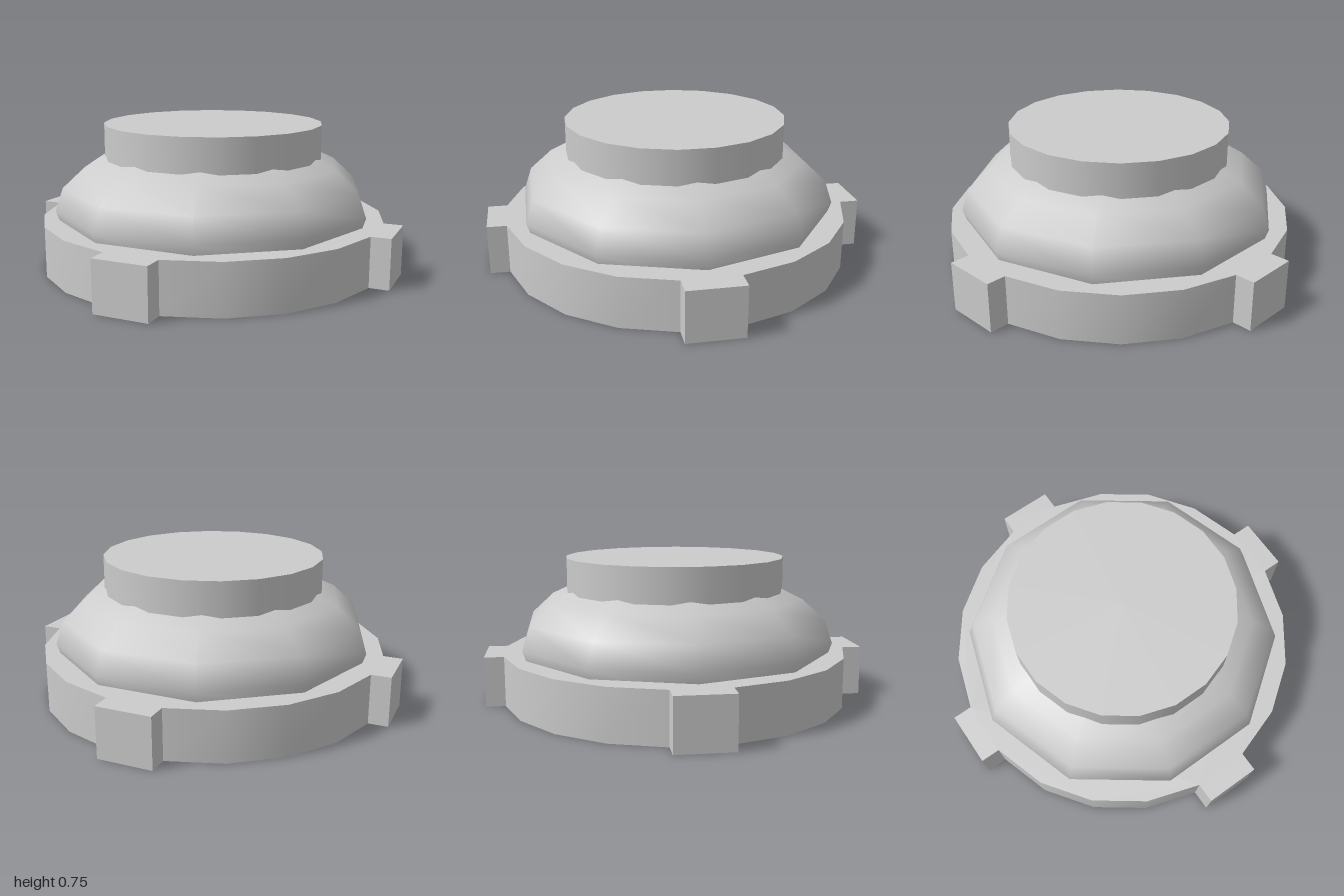
import * as THREE from 'three';
import { toCreasedNormals } from 'three/addons/utils/BufferGeometryUtils.js';

const BASE_H = 0.26, BASE_R = 0.91, TAB = 0.142;
const material = new THREE.MeshStandardMaterial({ color: 0xcccccc, side: THREE.DoubleSide });

// Twenty-sided outline with a square tab on each axis
function baseOutline() {
  const points = [];
  for (let q = 0; q < 4; q++) {
    const turn = q * Math.PI / 2, centre = new THREE.Vector2();
    const add = (x, y) => points.push(new THREE.Vector2(x, y).rotateAround(centre, turn));
    add(1, -TAB);
    add(1, TAB);
    for (let k = 0; k < 5; k++) {
      const a = THREE.MathUtils.degToRad(9 + 18 * k);
      add(BASE_R * Math.cos(a), BASE_R * Math.sin(a));
    }
  }
  return points;
}

// Open strip of quads that follows the outline from the ground to the lid
function wallGeometry(points, height) {
  const positions = [];
  points.forEach((a, i) => {
    const b = points[(i + 1) % points.length];
    const a0 = [a.x, 0, -a.y], b0 = [b.x, 0, -b.y];
    const a1 = [a.x, height, -a.y], b1 = [b.x, height, -b.y];
    positions.push(...a0, ...b0, ...b1, ...a0, ...b1, ...a1);
  });
  const geometry = new THREE.BufferGeometry();
  geometry.setAttribute('position', new THREE.Float32BufferAttribute(positions, 3));
  return toCreasedNormals(geometry, Math.PI / 6);
}

export function createModel() {
  const group = new THREE.Group();
  const add = (name, geometry, y = 0) => {
    const mesh = new THREE.Mesh(geometry, material);
    mesh.name = name;
    mesh.position.y = y;
    group.add(mesh);
  };

  // Base: hollow underneath, closed by a flat lid
  const outline = baseOutline();
  add('baseWall', wallGeometry(outline, BASE_H));
  add('baseLid', new THREE.ShapeGeometry(new THREE.Shape(outline)).rotateX(-Math.PI / 2), BASE_H);

  // Dome: flattened ten-sided sphere, open below, its rim sunk through the lid
  const dome = new THREE.SphereGeometry(0.84, 10, 6, 0, Math.PI * 2, 0, Math.PI * 0.6);
  add('dome', dome.scale(1, 0.39 / 0.84, 1), 0.31);

  // Top drum
  const drum = new THREE.CylinderGeometry(0.577, 0.577, 0.455, 20).rotateY(Math.PI / 20);
  add('topDrum', drum, 0.5275);

  return group;
}
